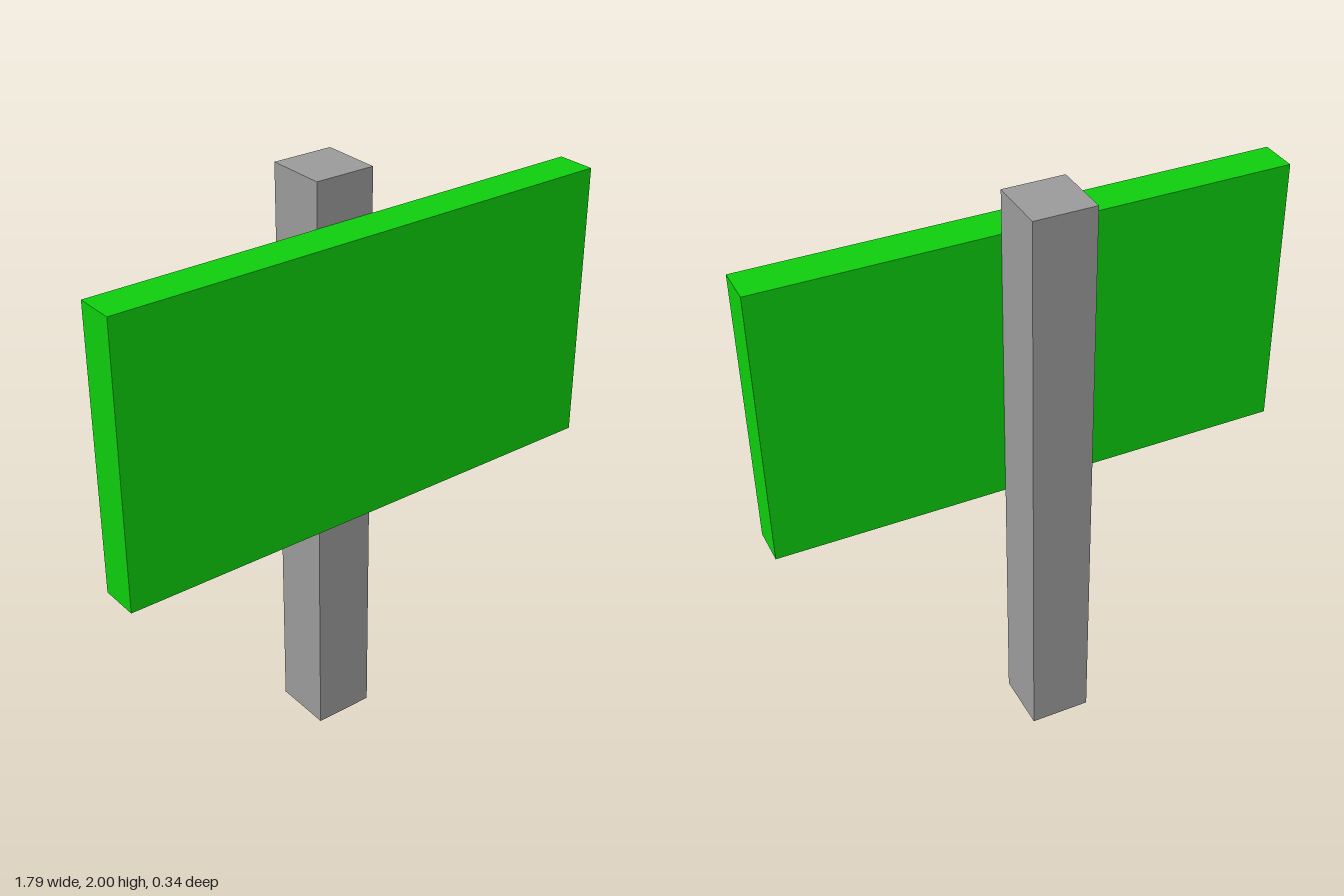
import * as THREE from 'three';

export function createModel() {
  const model = new THREE.Group();
  model.name = 'signpost';

  const grey = new THREE.MeshStandardMaterial({ color: 0x999999 });
  grey.name = 'post grey';
  const green = new THREE.MeshStandardMaterial({ color: 0x0dcc0d });
  green.name = 'board green';

  const addBox = (name, material, size, position) => {
    const mesh = new THREE.Mesh(new THREE.BoxGeometry(...size), material);
    mesh.name = name;
    mesh.position.set(...position);
    model.add(mesh);
  };

  // Square upright, with the board fixed against its front face
  addBox('post', grey, [0.208, 2, 0.208], [0, 1, -0.067]);
  addBox('board', green, [1.786, 0.954, 0.134], [0, 1.377, 0.104]);

  return model;
}
